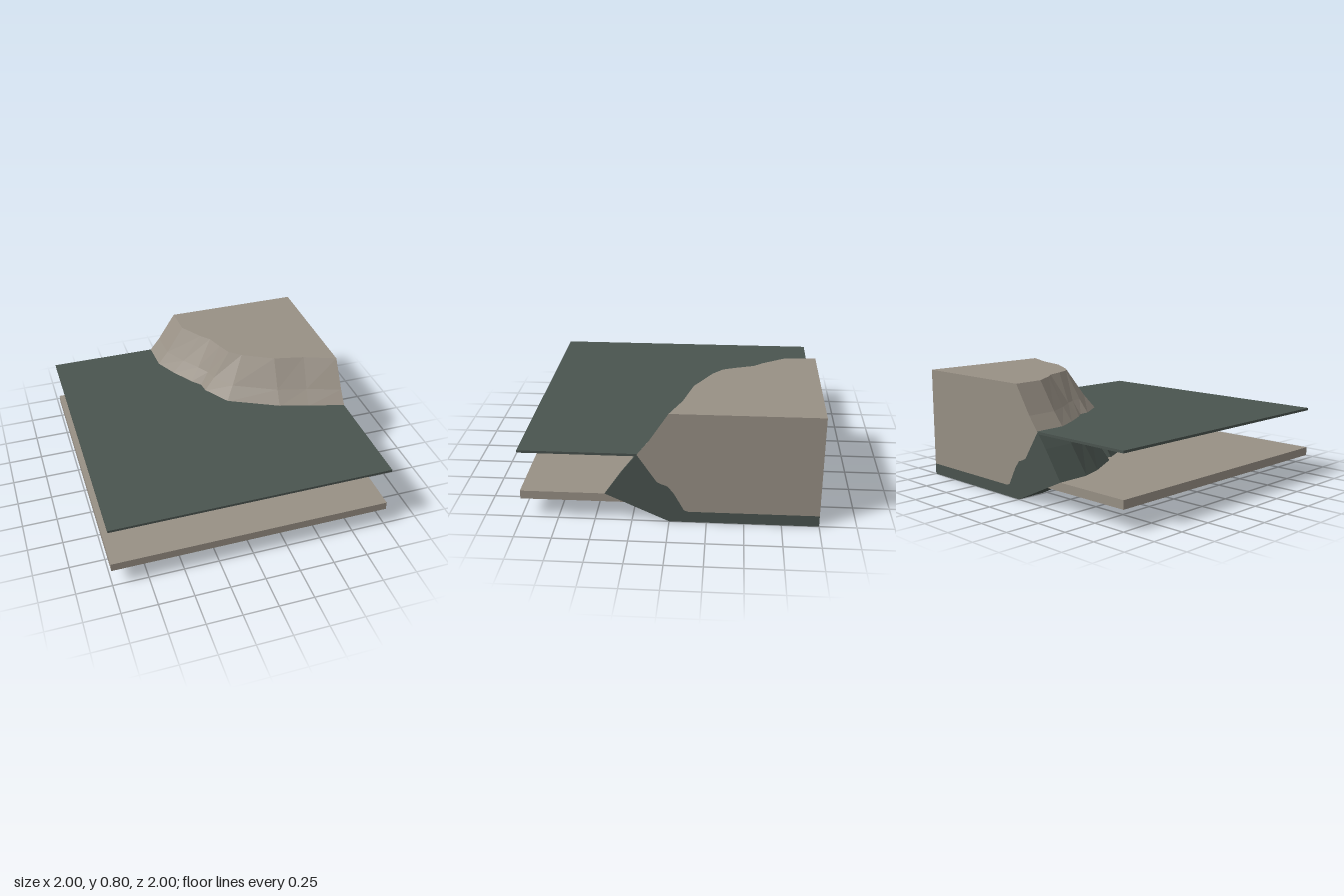
import * as THREE from 'three';
import { mergeGeometries } from 'three/addons/utils/BufferGeometryUtils.js';

// Coastline columns: [rim x, rim z, waterline x, waterline z]
const COAST = [
  [0, -1, -0.21, -1], [0.01, -0.78, -0.2, -0.77], [0.11, -0.62, -0.12, -0.61],
  [0.17, -0.55, -0.02, -0.45], [0.21, -0.43, 0.04, -0.38], [0.25, -0.33, 0.05, -0.3],
  [0.33, -0.26, 0.17, -0.11], [0.55, -0.14, 0.53, 0.07], [0.77, -0.09, 0.74, 0.13],
  [1, 0, 1, 0.21],
];
const REACH = 0.21;

// Cliff profile: [outward offset, height]
const FOOT = [0, 0], TOE = [0.43, 0.2], LOW = [0.29, 0.4], WATERLINE = [0.21, 0.5],
  MID = [0.13, 0.6], RIM = [0, 0.8];

// Border between wet and dry rock on the cut sides
const BORDER = [[0.08, 0.3], [0.05, 0.285], [0.01, 0.27], [-0.03, 0.22], [-0.1, 0.09], [-0.13, 0.08], [-1, 0.08]];

// Coast contour pushed outward, as [x, z] points
function contour(offset) {
  const t = offset / REACH;
  return COAST.map(([x, z, u, v]) => [x + (u - x) * t, z + (v - z) * t]);
}

function polygon(points) {
  return new THREE.ShapeGeometry(new THREE.Shape(points.map(([x, y]) => new THREE.Vector2(x, y))));
}

// Horizontal face facing up or down
function cap(points, y, up) {
  const s = up ? -1 : 1;
  return polygon(points.map(([x, z]) => [x, s * z])).rotateX(s * Math.PI / 2).translate(0, y, 0);
}

// Faceted wall between two matching outlines
function wall(low, yLow, high, yHigh) {
  const pos = [];
  for (let i = 0; i < low.length - 1; i++) {
    const a = [low[i][0], yLow, low[i][1]], b = [low[i + 1][0], yLow, low[i + 1][1]];
    const c = [high[i + 1][0], yHigh, high[i + 1][1]], d = [high[i][0], yHigh, high[i][1]];
    pos.push(...a, ...b, ...c, ...a, ...c, ...d);
  }
  const g = new THREE.BufferGeometry();
  g.setAttribute('position', new THREE.Float32BufferAttribute(pos, 3));
  g.computeVertexNormals();
  return g;
}

function join(parts) {
  return mergeGeometries(parts.map((p) => {
    const g = p.index ? p.toNonIndexed() : p;
    g.deleteAttribute('uv');
    return g;
  }));
}

// Cliff bands through successive profile points
function bands(...profile) {
  return profile.slice(1).map(([o, y], i) => wall(contour(profile[i][0]), profile[i][1], contour(o), y));
}

// The same cut outline on the left side and on the back
function cutSides(points) {
  return [
    polygon(points.map(([o, y]) => [-o, y])).rotateY(Math.PI / 2).translate(1, 0, 0),
    polygon(points).rotateY(Math.PI).translate(0, 0, -1),
  ];
}

// Sheet that fills the tile up to the cliff
function slab(lowOffset, yLow, highOffset, yHigh) {
  const outline = (o) => [...contour(o), [1, 1], [-1, 1], [-1, -1]];
  const low = outline(lowOffset), high = outline(highOffset);
  const loop = (p) => [...p, p[0]].reverse();
  return join([cap(low, yLow, false), cap(high, yHigh, true), wall(loop(low), yLow, loop(high), yHigh)]);
}

export function createModel() {
  const rock = new THREE.MeshStandardMaterial({ name: 'rock', color: 0x989085 });
  const wet = new THREE.MeshStandardMaterial({ name: 'deepWater', color: 0x4a544f });

  const group = new THREE.Group();
  group.name = 'coastTile';
  const add = (name, geometry, material) => {
    const mesh = new THREE.Mesh(geometry, material);
    mesh.name = name;
    group.add(mesh);
  };

  const land = [...contour(0), [1, -1]];

  // Dry rock: top, base, upper slope and cut sides
  add('cliff', join([
    cap(land, 0.8, true),
    cap(land, 0, false),
    ...bands(WATERLINE, MID, RIM),
    ...cutSides([RIM, MID, WATERLINE, ...BORDER, [-1, 0.8]]),
  ]), rock);

  // Submerged rock: undercut, lower slope and cut sides
  add('submergedCliff', join([
    ...bands(FOOT, TOE, LOW, WATERLINE),
    ...cutSides([FOOT, TOE, LOW, WATERLINE, ...BORDER, [-1, 0]]),
  ]), wet);

  add('seabed', slab(0.3, 0.14, 0.43, 0.2), rock);
  add('waterSurface', slab(0.218, 0.488, 0.206, 0.505), wet);
  return group;
}
